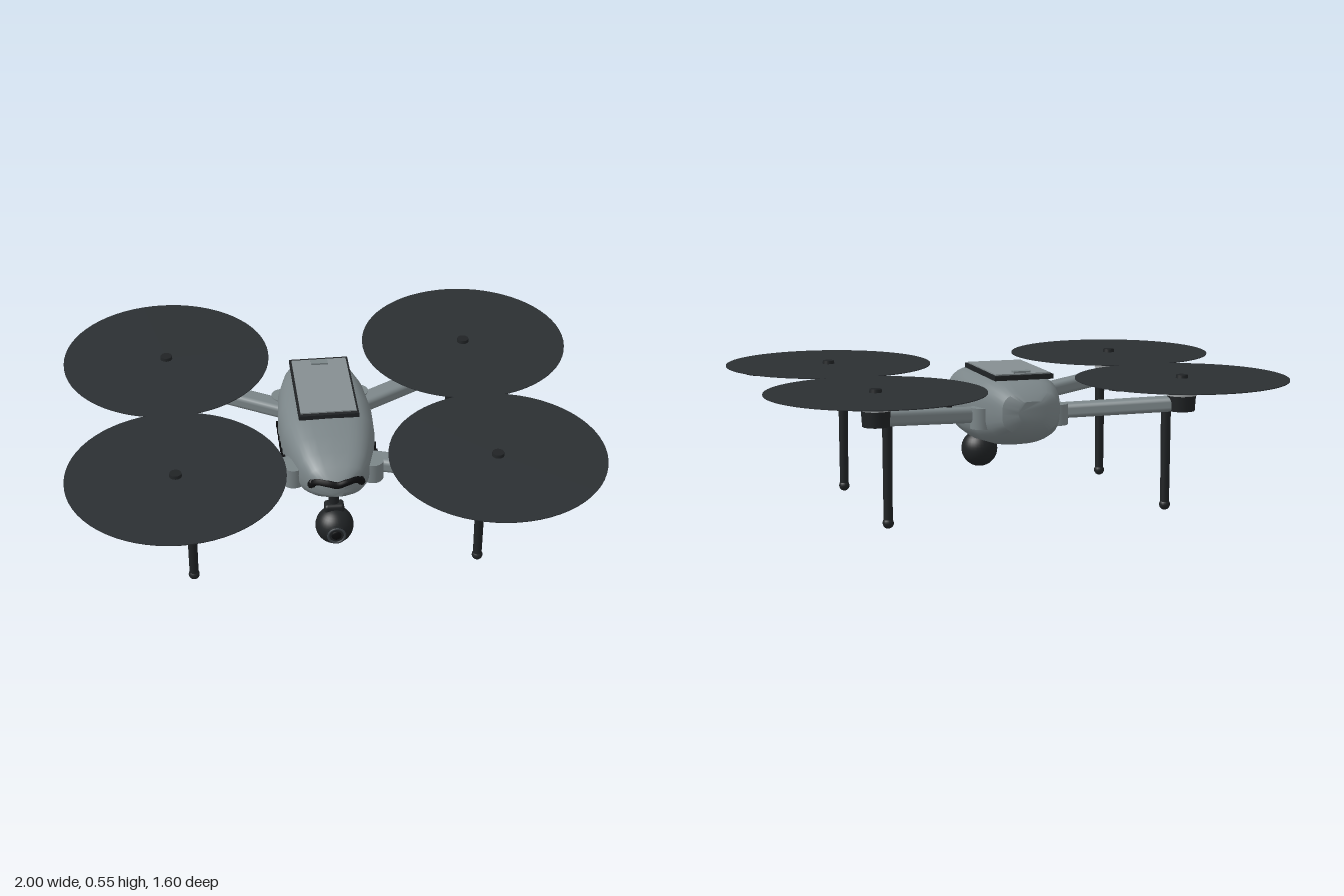
import * as THREE from 'three';
import { toCreasedNormals } from 'three/addons/utils/BufferGeometryUtils.js';
import { RoundedBoxGeometry } from 'three/addons/geometries/RoundedBoxGeometry.js';

const mat = (color, side = THREE.FrontSide) => new THREE.MeshStandardMaterial({ color, side });
const shell = mat(0x7b8588), panel = mat(0x858e91), dark = mat(0x202325);
const silver = mat(0x9b9fa1), glass = mat(0x0c0d0f);
const blur = mat(0x2b2f32, THREE.DoubleSide);

function add(parent, name, geometry, material, x = 0, y = 0, z = 0) {
  const mesh = new THREE.Mesh(geometry, material);
  mesh.name = name;
  mesh.position.set(x, y, z);
  parent.add(mesh);
  return mesh;
}

// Hull: rounded cross-sections lofted from tail to nose
function hullGeometry() {
  // z, half width, bottom, top
  const stations = [
    [-0.395, 0.055, 0.37, 0.45], [-0.37, 0.11, 0.325, 0.48], [-0.3, 0.14, 0.285, 0.508],
    [-0.2, 0.17, 0.256, 0.519], [-0.05, 0.184, 0.244, 0.523], [0.08, 0.178, 0.246, 0.521],
    [0.2, 0.155, 0.262, 0.508], [0.28, 0.132, 0.295, 0.487], [0.335, 0.105, 0.326, 0.463],
    [0.37, 0.065, 0.35, 0.437], [0.388, 0.025, 0.365, 0.415],
  ];
  const n = 32, pos = [], index = [];
  const pow = (v, p) => Math.sign(v) * Math.abs(v) ** p;
  for (const [z, w, lo, hi] of stations) {
    const mid = lo + (hi - lo) * 0.5;
    for (let i = 0; i < n; i++) {
      const a = (i / n) * Math.PI * 2, s = Math.sin(a);
      pos.push(w * pow(Math.cos(a), s > 0 ? 0.55 : 0.75), mid + pow(s, 0.7) * (hi - lo) / 2, z);
    }
  }
  for (let k = 0; k < stations.length - 1; k++) {
    for (let i = 0; i < n; i++) {
      const j = (i + 1) % n, a = k * n + i, b = k * n + j;
      index.push(a, b, b + n, a, b + n, a + n);
    }
  }
  // End caps
  const last = (stations.length - 1) * n;
  for (let i = 1; i < n - 1; i++) {
    index.push(0, i + 1, i);
    index.push(last, last + i, last + i + 1);
  }
  const g = new THREE.BufferGeometry();
  g.setAttribute('position', new THREE.Float32BufferAttribute(pos, 3));
  g.setIndex(index);
  return toCreasedNormals(g, 0.6);
}

function buildBody() {
  const body = new THREE.Group();
  body.name = 'body';
  add(body, 'hull', hullGeometry(), shell);

  // Battery cover on the back
  add(body, 'batteryFrame', new THREE.BoxGeometry(0.23, 0.018, 0.395), dark, 0, 0.526, -0.098);
  add(body, 'batteryPanel', new THREE.BoxGeometry(0.214, 0.01, 0.365), panel, 0, 0.535, -0.098);
  add(body, 'batteryButton', new THREE.BoxGeometry(0.065, 0.008, 0.03), shell, 0, 0.543, -0.255);

  // Curved sensor visor across the nose
  const visorPath = new THREE.CatmullRomCurve3([
    [-0.098, 0.39, 0.338], [-0.075, 0.415, 0.355], [-0.035, 0.418, 0.375], [0, 0.412, 0.382],
    [0.035, 0.418, 0.375], [0.075, 0.415, 0.355], [0.098, 0.39, 0.338],
  ].map(p => new THREE.Vector3(...p)));
  add(body, 'visor', new THREE.TubeGeometry(visorPath, 32, 0.014, 8), glass);
  for (const s of [-1, 1]) {
    add(body, 'visorEye', new THREE.SphereGeometry(0.021, 16, 10), glass, s * 0.085, 0.402, 0.343)
      .scale.set(1, 0.9, 0.7);
    // Side vents
    for (let i = 0; i < 6; i++) {
      add(body, 'vent', new THREE.BoxGeometry(0.022, 0.026, 0.013), glass,
        s * 0.174, 0.358, 0.115 - i * 0.045);
    }
  }
  return body;
}

function buildCamera() {
  const cam = new THREE.Group();
  cam.name = 'gimbalCamera';
  add(cam, 'gimbalMount', new RoundedBoxGeometry(0.075, 0.05, 0.05, 2, 0.012), dark, 0, 0.225, 0.272);
  add(cam, 'gimbalNeck', new THREE.CylinderGeometry(0.02, 0.02, 0.08, 16), dark, 0, 0.255, 0.265);
  add(cam, 'cameraBall', new THREE.SphereGeometry(0.073, 32, 20), dark, 0, 0.157, 0.287);
  const lens = add(cam, 'lensBarrel', new THREE.CylinderGeometry(0.038, 0.04, 0.02, 28), dark, 0, 0.157, 0.349);
  lens.rotation.x = Math.PI / 2;
  add(cam, 'lensRing', new THREE.TorusGeometry(0.032, 0.005, 8, 28), mat(0x3a4045), 0, 0.157, 0.358);
  add(cam, 'lensGlass', new THREE.SphereGeometry(0.022, 20, 12), glass, 0, 0.157, 0.355).scale.z = 0.4;
  return cam;
}

// One arm with hinge, motor, leg and rotor; sx, sz pick the corner
function buildArm(sx, sz) {
  const arm = new THREE.Group();
  arm.name = (sz > 0 ? 'front' : 'rear') + (sx > 0 ? 'Left' : 'Right') + 'Arm';
  const mx = sx * 0.595, mz = sz * 0.393;

  add(arm, 'hinge', new THREE.CylinderGeometry(0.042, 0.042, 0.08, 24), shell,
    sx * 0.15, 0.372, sz * 0.235);

  // Boom from the hull to the motor
  const from = new THREE.Vector3(sx * 0.14, 0.376, sz * 0.185);
  const to = new THREE.Vector3(sx * 0.58, 0.415, sz * 0.383);
  const boom = add(arm, 'boom', new RoundedBoxGeometry(0.078, 0.056, from.distanceTo(to), 2, 0.018), shell);
  boom.position.copy(from).lerp(to, 0.5);
  boom.lookAt(to);

  // Motor
  add(arm, 'motorBase', new THREE.CylinderGeometry(0.054, 0.05, 0.06, 32), dark, mx, 0.418, mz);
  add(arm, 'motorBell', new THREE.CylinderGeometry(0.057, 0.057, 0.048, 32), silver, mx, 0.471, mz);
  for (let i = 0; i < 16; i++) {
    const a = (i / 16) * Math.PI * 2;
    const slot = add(arm, 'motorSlot', new THREE.BoxGeometry(0.012, 0.005, 0.004), dark,
      mx + Math.sin(a) * 0.0565, 0.465, mz + Math.cos(a) * 0.0565);
    slot.rotation.y = a;
  }
  add(arm, 'rotorHub', new THREE.CylinderGeometry(0.022, 0.026, 0.03, 20), dark, mx, 0.51, mz);

  // Spinning rotor: disc with two blades beneath
  add(arm, 'rotorDisc', new THREE.CylinderGeometry(0.405, 0.405, 0.003, 64), blur, mx, 0.511, mz);
  const blades = add(arm, 'blades', new THREE.BoxGeometry(0.79, 0.004, 0.045), glass, mx, 0.508, mz);
  blades.rotation.y = sx * sz * 0.5;

  // Landing leg
  const lx = sx * 0.545, lz = sz * 0.36;
  add(arm, 'leg', new THREE.CylinderGeometry(0.019, 0.017, 0.38, 16), dark, lx, 0.21, lz);
  add(arm, 'foot', new THREE.SphereGeometry(0.021, 16, 12), dark, lx, 0.021, lz);
  return arm;
}

export function createModel() {
  const model = new THREE.Group();
  model.name = 'quadcopter';
  model.add(buildBody(), buildCamera());
  for (const sx of [-1, 1]) for (const sz of [-1, 1]) model.add(buildArm(sx, sz));
  return model;
}
